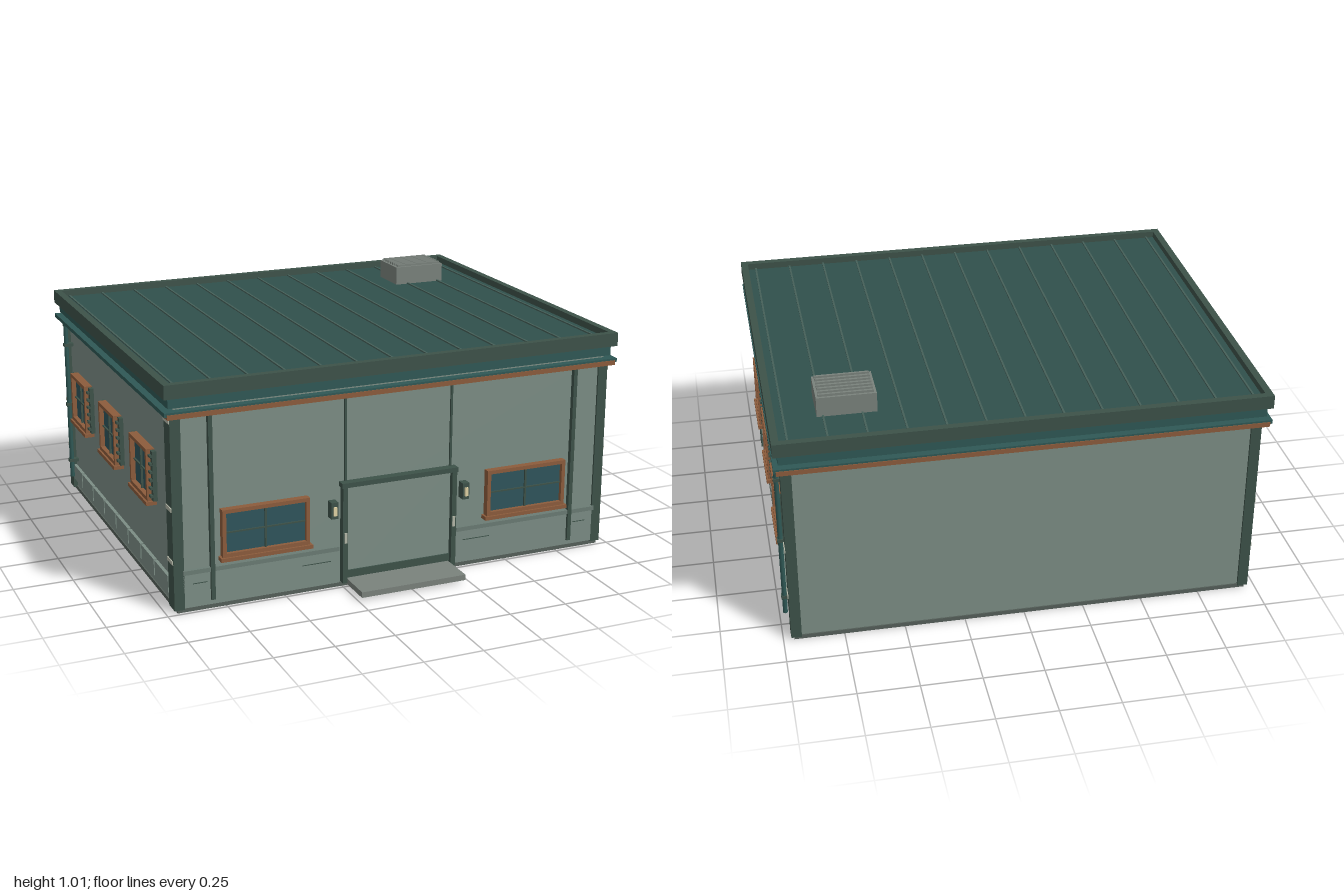
import * as THREE from 'three';

const mat = (color, side = THREE.FrontSide) => new THREE.MeshStandardMaterial({ color, side });
const M = {
  wall: mat(0x7c8d85), base: mat(0x55605a), dark: mat(0x3d5249), teal: mat(0x2f5855),
  roof: mat(0x30504c), seam: mat(0x456059), glass: mat(0x2f555c), wood: mat(0x8c5c3c),
  metal: mat(0x7a827c), clip: mat(0xb4b8a8), lamp: mat(0xe0d2a4), ledge: mat(0x6b7c74),
};

// Box given by its minimum and maximum corners
function box(parent, name, m, x0, x1, y0, y1, z0, z1) {
  const mesh = new THREE.Mesh(new THREE.BoxGeometry(x1 - x0, y1 - y0, z1 - z0), m);
  mesh.position.set((x0 + x1) / 2, (y0 + y1) / 2, (z0 + z1) / 2);
  mesh.name = name;
  parent.add(mesh);
  return mesh;
}

function group(parent, name) {
  const g = new THREE.Group();
  g.name = name;
  parent.add(g);
  return g;
}

// Horizontal rectangular ring, open in the middle
function ring(parent, name, m, x, zBack, zFront, y0, y1, t) {
  const s = new THREE.Shape([[-x, -zFront], [x, -zFront], [x, -zBack], [-x, -zBack]].map(p => new THREE.Vector2(...p)));
  const h = new THREE.Path([[-x + t, -zFront + t], [-x + t, -zBack - t], [x - t, -zBack - t], [x - t, -zFront + t]]
    .map(p => new THREE.Vector2(...p)));
  s.holes.push(h);
  const geo = new THREE.ExtrudeGeometry(s, { depth: y1 - y0, bevelEnabled: false });
  geo.rotateX(-Math.PI / 2);
  const mesh = new THREE.Mesh(geo, m);
  mesh.position.y = y0;
  mesh.name = name;
  parent.add(mesh);
}

// Window facing +z, centred on its origin, back at z = 0
function makeWindow(w, h, depth, shutters) {
  const g = new THREE.Group();
  g.name = 'window';
  const a = w / 2, b = h / 2, t = 0.016;
  box(g, 'glass', M.glass, -a + t, a - t, -b + t, b - t, 0, depth * 0.45);
  for (const s of [-1, 1]) {
    box(g, 'frameRail', M.wood, -a, a, s > 0 ? b - t : -b, s > 0 ? b : -b + t, 0, depth);
    box(g, 'frameStile', M.wood, s > 0 ? a - t : -a, s > 0 ? a : -a + t, -b + t, b - t, 0, depth);
  }
  box(g, 'verticalBar', M.dark, -0.004, 0.004, -b + t, b - t, 0, depth * 0.7);
  box(g, 'horizontalBar', M.dark, -a + t, a - t, -0.003, 0.003, 0, depth * 0.65);
  box(g, 'sill', M.wood, -a - 0.01, a + 0.01, -b - 0.016, -b, 0, depth + 0.008);
  if (shutters) for (const s of [-1, 1]) {
    const x = s * (a + 0.013);
    box(g, 'shutter', M.dark, x - 0.013, x + 0.013, -b + 0.005, b - 0.005, 0, depth * 0.5);
    for (let i = 0; i < 6; i++) {
      const y = -b + 0.025 + i * (h - 0.05) / 5;
      box(g, 'shutterSlat', M.dark, x - 0.012, x + 0.012, y - 0.005, y + 0.005, 0, depth * 0.8);
    }
  }
  return g;
}

export function createModel() {
  const root = new THREE.Group();
  root.name = 'building';
  const X = 0.95, F = 0.73, B = -0.855;

  // Body
  box(root, 'foundation', M.base, -X - 0.005, X + 0.005, 0, 0.018, B - 0.005, F + 0.005);
  box(root, 'walls', M.wall, -X, X, 0.018, 0.86, B, F);

  // Roof and its stepped cornice
  const roof = group(root, 'roof');
  box(roof, 'roofDeck', M.roof, -0.965, 0.965, 0.85, 0.922, -0.88, 0.74);
  ring(roof, 'parapet', M.dark, 0.995, -0.905, 0.765, 0.893, 0.95, 0.03);
  ring(roof, 'fascia', M.teal, 0.975, -0.89, 0.745, 0.85, 0.893, 0.06);
  ring(roof, 'gutter', M.teal, 0.995, -0.905, 0.765, 0.823, 0.84, 0.06);
  for (let i = -6; i <= 6; i++)
    box(roof, 'roofSeam', M.seam, i * 0.155 - 0.004, i * 0.155 + 0.004, 0.92, 0.928, -0.875, 0.735);
  box(roof, 'frontTrim', M.wood, -0.985, 0.985, 0.812, 0.832, F, 0.768);
  box(roof, 'backTrim', M.wood, -0.985, 0.985, 0.812, 0.832, -0.908, B);

  // Rooftop ventilation unit
  const vent = group(root, 'roofVent');
  box(vent, 'ventCase', M.metal, 0.56, 0.80, 0.92, 1.005, -0.675, -0.495);
  for (let i = 0; i < 7; i++) {
    const z = -0.66 + i * 0.025;
    box(vent, 'ventSlat', M.metal, 0.57, 0.79, 1.005, 1.015, z - 0.005, z + 0.005);
  }

  // Entrance
  const door = group(root, 'entrance');
  box(door, 'doorPanel', M.wall, -0.235, 0.235, 0.035, 0.437, F, F + 0.008);
  box(door, 'threshold', M.dark, -0.235, 0.235, 0.036, 0.068, F, F + 0.014);
  box(door, 'lintel', M.dark, -0.262, 0.257, 0.435, 0.455, F, 0.767);
  box(door, 'step', M.metal, -0.235, 0.23, 0.012, 0.036, F, 0.905);

  for (const s of [-1, 1]) {
    const side = group(root, s > 0 ? 'leftHalf' : 'rightHalf');
    // Mirrored box: distances outward from the middle
    const mb = (name, m, a, b, ...r) => box(side, name, m, s > 0 ? a : -b, s > 0 ? b : -a, ...r);

    // Front face
    mb('doorJamb', M.dark, 0.235, 0.256, 0.02, 0.44, F, 0.76);
    mb('jambPlate', M.clip, 0.238, 0.25, 0.195, 0.24, F, 0.763);
    mb('panelSeam', M.dark, 0.231, 0.24, 0.455, 0.82, F, F + 0.008);
    mb('frontBatten', M.dark, 0.8, 0.817, 0.04, 0.82, F, 0.75);
    mb('frontPlinth', M.wall, 0.265, 0.93, 0.018, 0.16, F, F + 0.008);
    mb('plinthLedge', M.ledge, 0.265, 0.93, 0.16, 0.178, F, F + 0.016);
    mb('plinthGroove', M.dark, 0.3, 0.425, 0.116, 0.119, F, F + 0.01);
    mb('plinthGroove', M.dark, 0.83, 0.89, 0.116, 0.119, F, F + 0.01);
    const front = makeWindow(0.37, 0.2, 0.03, false);
    front.position.set(s * 0.585, 0.315, F);
    side.add(front);

    // Wall lamp
    mb('lampBody', M.dark, 0.28, 0.31, 0.31, 0.38, F, 0.768);
    mb('lampGlow', M.lamp, 0.288, 0.302, 0.325, 0.362, F, 0.775);

    // Corner posts with clips
    for (const [z0, z1] of [[0.667, 0.738], [-0.865, -0.805]]) {
      mb('cornerPost', M.dark, 0.925, 0.968, 0.012, 0.82, z0, z1);
      for (const y of [0.215, 0.435, 0.795])
        mb('postClip', M.clip, 0.93, 0.972, y - 0.008, y + 0.008, z0 + 0.002, z1 - 0.002);
    }

    // Downpipe
    const pipe = new THREE.Mesh(new THREE.CylinderGeometry(0.01, 0.01, 0.745, 10), M.teal);
    pipe.name = 'downpipe';
    pipe.position.set(s * 0.98, 0.452, -0.775);
    side.add(pipe);
    for (const y of [0.16, 0.435, 0.72])
      mb('pipeBracket', M.dark, X, 0.993, y - 0.007, y + 0.007, -0.788, -0.762);

    // Side windows with shutters
    for (const z of [0.352, -0.114, -0.58]) {
      const w = makeWindow(0.238, 0.22, 0.036, true);
      w.rotation.y = s * Math.PI / 2;
      w.position.set(s * X, 0.495, z);
      side.add(w);
    }

    // Side plinth blocks
    for (let i = 0; i < 8; i++) {
      const z = 0.556 - i * 0.1865;
      mb('plinthBlock', M.wall, X, X + 0.014, 0.055, 0.125, z - 0.087, z + 0.087);
    }
  }
  return root;
}
